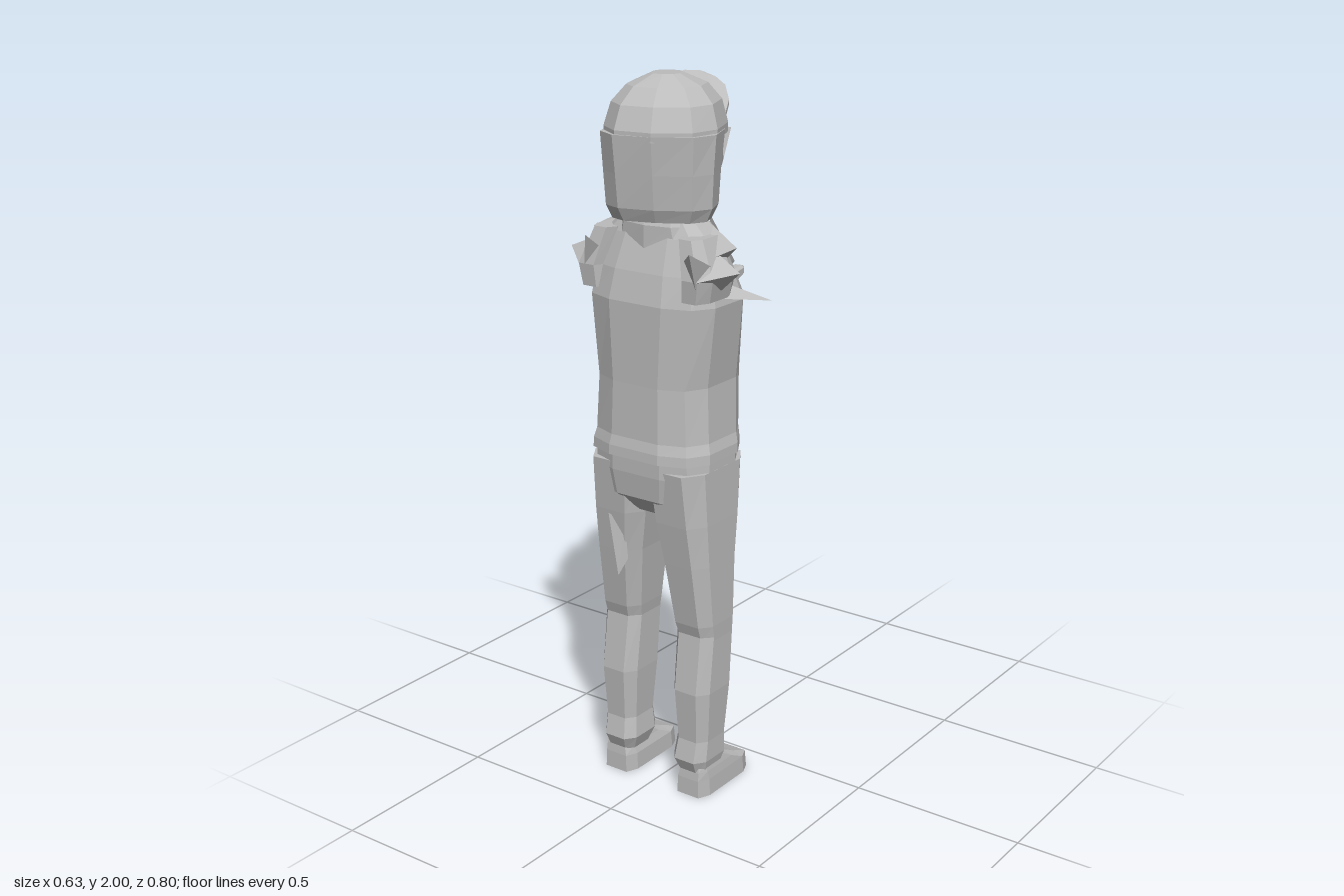
import * as THREE from 'three';

const clay = new THREE.MeshStandardMaterial({ color: 0xbcbcbc, flatShading: true, side: THREE.DoubleSide });
clay.name = 'clay grey';

function add(parent, name, geometry) {
  const g = geometry.index ? geometry.toNonIndexed() : geometry;
  g.computeVertexNormals();
  const mesh = new THREE.Mesh(g, clay);
  mesh.name = name;
  parent.add(mesh);
  return mesh;
}

// Faceted skin through rings [height, x min, x max, z min, z max]; lower pow is boxier
function loft(rings, n = 8, pow = 0.7) {
  const pos = [], idx = [];
  const bend = v => Math.sign(v) * Math.abs(v) ** pow;
  for (const [y, x0, x1, z0, z1] of rings) {
    for (let j = 0; j < n; j++) {
      const a = ((j + 0.5) / n) * Math.PI * 2;
      pos.push((x0 + x1) / 2 + (bend(Math.cos(a)) * (x1 - x0)) / 2, y,
        (z0 + z1) / 2 + (bend(Math.sin(a)) * (z1 - z0)) / 2);
    }
  }
  for (let i = 0; i < rings.length - 1; i++) {
    for (let j = 0; j < n; j++) {
      const k = (j + 1) % n, a = i * n + j, b = i * n + k;
      idx.push(a, a + n, b, b, a + n, b + n);
    }
  }
  const top = (rings.length - 1) * n;
  for (let j = 1; j < n - 1; j++) idx.push(0, j, j + 1, top, top + j + 1, top + j);
  const g = new THREE.BufferGeometry();
  g.setAttribute('position', new THREE.Float32BufferAttribute(pos, 3));
  g.setIndex(idx);
  return g;
}

// Skin running forward (-z): rings [forward, x min, x max, y min, y max]
function forwardLoft(rings, n = 8, pow = 0.7) {
  return loft(rings, n, pow).rotateX(-Math.PI / 2);
}

// Four-cornered shard: tip and a triangular base
function shard(tip, a, b, c) {
  const g = new THREE.BufferGeometry();
  g.setAttribute('position', new THREE.Float32BufferAttribute([...tip, ...a, ...b, ...c], 3));
  g.setIndex([0, 1, 2, 0, 2, 3, 0, 3, 1, 1, 3, 2]);
  return g;
}

function buildLegs(model) {
  for (const s of [-1, 1]) {
    const side = s > 0 ? 'left' : 'right';
    const part = (name, rings, n, pow) => add(model, side + name, loft(
      rings.map(([y, a, b, z0, z1]) => [y, s > 0 ? a : -b, s > 0 ? b : -a, z0, z1]), n, pow));
    part('Thigh', [[0.475, 0.062, 0.19, 0.152, 0.298], [0.52, 0.055, 0.192, 0.146, 0.312],
      [0.7, 0.035, 0.193, 0.13, 0.338], [0.82, 0.015, 0.193, 0.107, 0.355], [0.97, 0, 0.19, 0.083, 0.37]], 8, 0.6);
    part('Shin', [[0.07, 0.08, 0.172, 0.2, 0.31], [0.11, 0.065, 0.181, 0.175, 0.328], [0.17, 0.072, 0.181, 0.18, 0.315],
      [0.32, 0.063, 0.19, 0.16, 0.325], [0.5, 0.06, 0.19, 0.148, 0.3]], 8, 0.6);
    part('Shoe', [[0, 0.075, 0.182, 0.075, 0.318], [0.05, 0.077, 0.18, 0.08, 0.316],
      [0.075, 0.085, 0.177, 0.14, 0.312], [0.1, 0.09, 0.172, 0.19, 0.305]], 8, 0.4);
  }
  add(model, 'hips', loft([[0.83, -0.06, 0.06, 0.16, 0.32], [0.88, -0.17, 0.17, 0.11, 0.362],
    [0.95, -0.19, 0.19, 0.083, 0.37], [1.02, -0.188, 0.188, 0.085, 0.37]], 12, 0.65));
  // Loose rag hanging at the back
  add(model, 'hangingRag', shard([-0.075, 0.635, 0.355], [-0.11, 0.81, 0.35], [-0.065, 0.79, 0.335], [-0.06, 0.68, 0.33]));
}

function buildJacket(model) {
  add(model, 'jacket', loft([[0.995, -0.196, 0.196, 0.077, 0.382], [1.022, -0.195, 0.195, 0.076, 0.38],
    [1.05, -0.187, 0.187, 0.073, 0.373], [1.2, -0.178, 0.178, 0.06, 0.368],
    [1.42, -0.205, 0.205, 0.072, 0.365], [1.5, -0.188, 0.188, 0.108, 0.345],
    [1.59, -0.165, 0.165, 0.15, 0.31], [1.64, -0.11, 0.11, 0.17, 0.29]], 12, 0.65));
  add(model, 'collar', loft([[1.56, -0.14, 0.14, 0.13, 0.32], [1.62, -0.12, 0.12, 0.14, 0.32],
    [1.66, -0.1, 0.1, 0.155, 0.3]], 10, 0.85));
  add(model, 'neck', loft([[1.5, -0.07, 0.07, 0.14, 0.28], [1.7, -0.06, 0.06, 0.14, 0.27]]));
  add(model, 'zipPull', shard([0.01, 1.155, 0.048], [0, 1.22, 0.065], [0.02, 1.22, 0.065], [0.01, 1.21, 0.05]));

  for (const s of [-1, 1]) {
    const side = s > 0 ? 'left' : 'right';
    const m = p => [p[0] * s, p[1], p[2]];
    add(model, side + 'Lapel', shard(m([0.01, 1.36, 0.06]), m([0.09, 1.63, 0.15]), m([0.13, 1.5, 0.095]), m([0.06, 1.5, 0.11])));
    // Torn sleeve stump with ragged points
    add(model, side + 'SleeveStump', loft([[1.44, 0.12, 0.205, 0.18, 0.35], [1.5, 0.12, 0.218, 0.18, 0.355],
      [1.6, 0.1, 0.175, 0.2, 0.33]].map(([y, a, b, z0, z1]) => [y, s > 0 ? a : -b, s > 0 ? b : -a, z0, z1])));
    const spikes = [
      [[0.315, 1.44, 0.19], [0.19, 1.442, 0.17], [0.19, 1.436, 0.24], [0.19, 1.465, 0.2]],
      [[s > 0 ? 0.27 : 0.285, 1.52, 0.27], [0.19, 1.45, 0.265], [0.18, 1.565, 0.255], [0.19, 1.5, 0.355]],
      [[0.235, 1.575, 0.235], [0.16, 1.515, 0.2], [0.15, 1.62, 0.22], [0.17, 1.54, 0.29]],
      [[s > 0 ? 0.205 : 0.15, 1.585, s > 0 ? 0.4 : 0.375], [0.2, 1.525, 0.28], [0.13, 1.54, 0.325], [0.185, 1.46, 0.34]],
    ];
    for (const sp of spikes) add(model, side + 'TornEdge', shard(...sp.map(m)));
  }
}

function buildArm(model) {
  add(model, 'armSleeve', forwardLoft([[-0.17, -0.19, -0.07, 1.36, 1.48], [-0.07, -0.168, -0.055, 1.305, 1.415],
    [0.02, -0.18, -0.09, 1.295, 1.4], [0.1, -0.202, -0.113, 1.27, 1.357],
    [0.165, -0.215, -0.135, 1.25, 1.335], [0.175, -0.205, -0.145, 1.255, 1.33]]));

  // Hand rolled so its outer edge sits lower
  const roll = g => {
    const p = g.attributes.position;
    for (let i = 0; i < p.count; i++) p.setY(i, p.getY(i) + (p.getX(i) + 0.23) * 0.25);
    return g;
  };
  add(model, 'palm', roll(forwardLoft([[0.145, -0.205, -0.145, 1.25, 1.305], [0.18, -0.225, -0.143, 1.23, 1.31],
    [0.24, -0.275, -0.155, 1.222, 1.295], [0.3, -0.318, -0.19, 1.22, 1.275]], 8, 0.6)));
  add(model, 'joinedFingers', roll(forwardLoft([[0.27, -0.305, -0.215, 1.222, 1.275],
    [0.3, -0.322, -0.215, 1.22, 1.272], [0.345, -0.302, -0.215, 1.22, 1.265], [0.388, -0.275, -0.235, 1.228, 1.258]], 8, 0.5)));
  add(model, 'indexFinger', roll(forwardLoft([[0.27, -0.23, -0.18, 1.225, 1.278],
    [0.33, -0.238, -0.19, 1.222, 1.272], [0.385, -0.25, -0.203, 1.228, 1.265], [0.402, -0.242, -0.213, 1.235, 1.258]], 8, 0.6)));
  add(model, 'thumb', forwardLoft([[0.18, -0.195, -0.143, 1.265, 1.318], [0.25, -0.19, -0.142, 1.29, 1.345],
    [0.31, -0.188, -0.142, 1.316, 1.36], [0.345, -0.186, -0.145, 1.332, 1.362], [0.36, -0.178, -0.155, 1.342, 1.358]], 8, 0.6));
}

function buildHead(model) {
  const head = new THREE.Group();
  head.name = 'head';
  head.position.set(0.005, 0, 0.225);
  head.rotation.y = 0.4;
  model.add(head);

  add(head, 'face', loft([[1.62, -0.035, 0.035, -0.138, -0.03], [1.66, -0.072, 0.072, -0.155, 0.02],
    [1.75, -0.108, 0.108, -0.16, 0.05], [1.88, -0.12, 0.12, -0.155, 0.05]], 8, 0.65));
  add(head, 'nose', shard([0, 1.735, -0.172], [-0.015, 1.73, -0.15], [0.015, 1.73, -0.15], [0, 1.79, -0.152]));
  add(head, 'hair', loft([[1.635, -0.13, 0.13, -0.02, 0.122], [1.67, -0.146, 0.146, -0.04, 0.138],
    [1.76, -0.151, 0.151, -0.055, 0.149], [1.86, -0.158, 0.158, -0.085, 0.16]], 10, 0.75));
  add(head, 'cap', loft([[1.845, -0.156, 0.156, -0.147, 0.159], [1.87, -0.156, 0.156, -0.155, 0.159],
    [1.93, -0.139, 0.139, -0.145, 0.133], [1.972, -0.102, 0.102, -0.115, 0.09], [2, -0.04, 0.04, -0.055, 0.035]], 10, 0.8));

  // Upturned brim with a rounded front edge
  const brim = [[0.1, 0.128], [0.2, 0.126], [0.25, 0.104], [0.278, 0.07], [0.293, 0.035]];
  add(head, 'brim', forwardLoft(brim.map(([d, w]) => {
    const y = 1.845 + (d - 0.13) * 0.62;
    return [d, -w, w, y, y + 0.022];
  }), 8, 0.5));

  // Glasses
  for (const s of [-1, 1]) {
    const poly = pts => pts.map(q => new THREE.Vector2(...q));
    const rim = new THREE.Shape(poly([[-0.036, -0.02], [0.036, -0.024], [0.04, 0.022], [-0.04, 0.022]]));
    rim.holes.push(new THREE.Path(poly([[-0.029, -0.012], [-0.031, 0.015], [0.031, 0.015], [0.029, -0.016]])));
    add(head, 'glassesRim', new THREE.ExtrudeGeometry(rim, { depth: 0.009, bevelEnabled: false })
      .rotateY(-s * 0.3).translate(s * 0.048, 1.795, -0.162));
    add(head, 'glassesArm', new THREE.BoxGeometry(0.008, 0.012, 0.1).translate(s * 0.112, 1.81, -0.095));
    // Hair lock beside the cheek
    add(head, 'hairLock', shard([s * 0.1, 1.63, -0.055], [s * 0.15, 1.85, -0.095], [s * 0.12, 1.85, -0.12], [s * 0.146, 1.78, -0.02]));
  }
  add(head, 'glassesBridge', new THREE.BoxGeometry(0.03, 0.01, 0.009).translate(0, 1.806, -0.162));
}

export function createModel() {
  const model = new THREE.Group();
  model.name = 'figure';
  buildLegs(model);
  buildJacket(model);
  buildArm(model);
  buildHead(model);
  return model;
}
